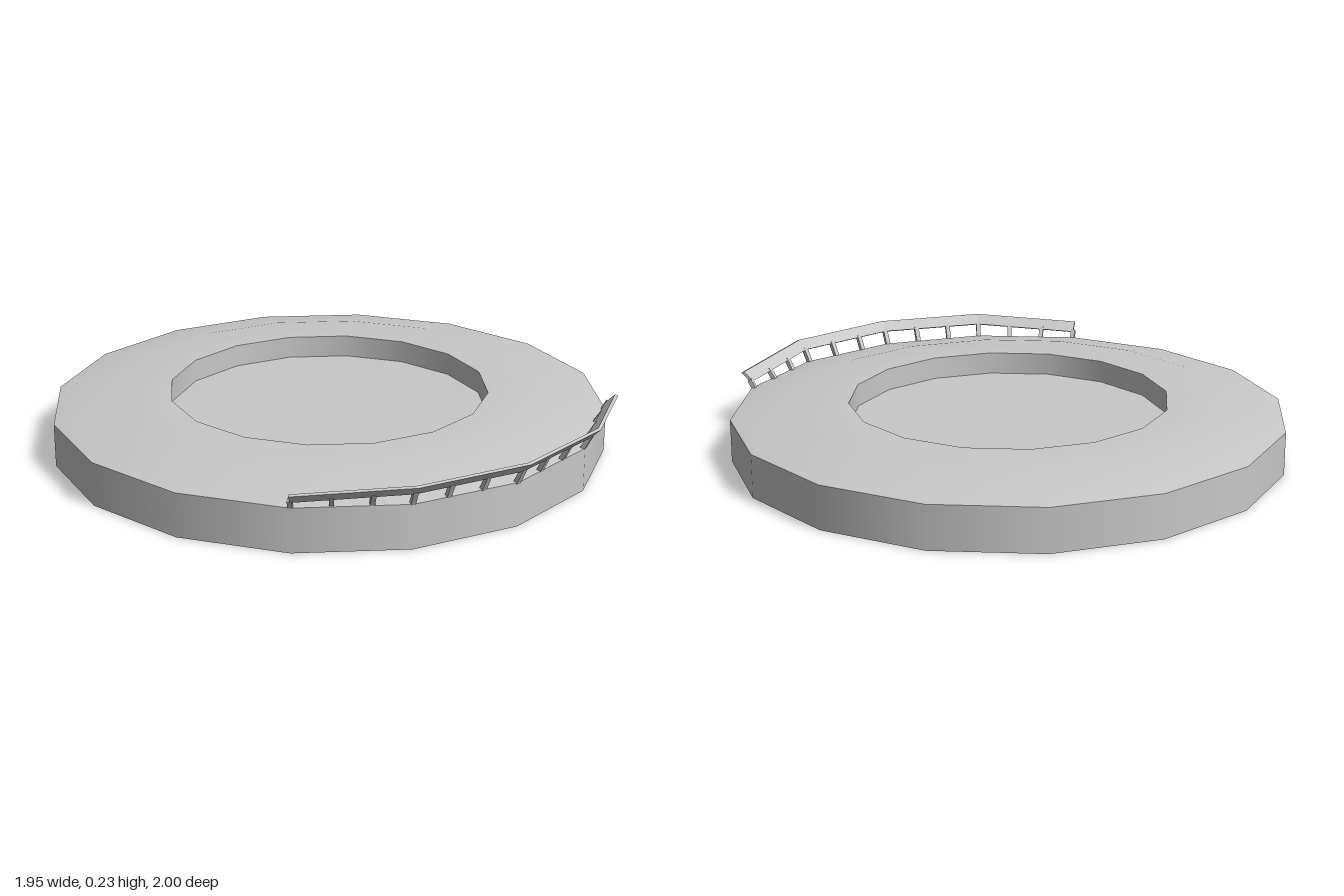
import * as THREE from 'three';

const SIDES = 16;
const CENTER_Z = -0.027;

export function createModel() {
  const model = new THREE.Group();
  const gray = new THREE.MeshStandardMaterial({ color: 0xc8c8c8 });
  gray.name = 'plain gray';

  const add = (parent, name, geometry) => {
    const mesh = new THREE.Mesh(geometry, gray);
    mesh.name = name;
    parent.add(mesh);
    return mesh;
  };

  // Round body: each profile piece is a separate lathe, so edges between them stay sharp
  const body = new THREE.Group();
  body.name = 'body';
  body.position.z = CENTER_Z;
  model.add(body);
  const profiles = {
    underside: [[0, 0], [0.973, 0]],
    outerWall: [[0.973, 0], [0.973, 0.152]],
    topRing: [[0.973, 0.152], [0.75, 0.197], [0.5625, 0.197]],
    recessWall: [[0.5625, 0.197], [0.5625, 0.117]],
    recessFloor: [[0.5625, 0.117], [0, 0.117]],
  };
  for (const [name, pts] of Object.entries(profiles)) {
    add(body, name, new THREE.LatheGeometry(pts.map(p => new THREE.Vector2(...p)), SIDES));
  }

  // Railing along four facets of the front edge
  const railing = new THREE.Group();
  railing.name = 'railing';
  railing.position.z = CENTER_Z;
  model.add(railing);

  // Corner i (-2..2) of the railing; it sinks and narrows slightly towards its ends
  const drop = [0, 0.003, 0.024];
  const shrink = [0, 0.002, 0.014];
  const corner = (i, r, y) => {
    const a = i * Math.PI * 2 / SIDES, k = Math.abs(i);
    return new THREE.Vector3(Math.sin(a) * (r - shrink[k]), y - drop[k], Math.cos(a) * (r - shrink[k]));
  };

  // Leaning rail board swept through the five corners
  const section = [[0.982, 0.201], [0.993, 0.196], [1.027, 0.23], [1.016, 0.234]];
  const rings = [-2, -1, 0, 1, 2].map(i => section.map(([r, y]) => corner(i, r, y)));
  const pos = [];
  const quad = (a, b, c, d) => {
    for (const v of [a, b, c, a, c, d]) pos.push(v.x, v.y, v.z);
  };
  for (let i = 0; i < 4; i++) {
    for (let j = 0; j < 4; j++) {
      const k = (j + 1) % 4;
      quad(rings[i][j], rings[i + 1][j], rings[i + 1][k], rings[i][k]);
    }
  }
  quad(...rings[0]);
  quad(...[...rings[4]].reverse());
  const board = new THREE.BufferGeometry();
  board.setAttribute('position', new THREE.Float32BufferAttribute(pos, 3));
  board.computeVertexNormals();
  add(railing, 'rail', board);

  // Thirteen slanted posts, three to a facet
  const up = new THREE.Vector3(0, 1, 0);
  for (let n = 0; n <= 12; n++) {
    const i = Math.min(Math.floor(n / 3), 3) - 2;
    const t = n / 3 - 2 - i;
    const top = corner(i, 0.994, 0.206).lerp(corner(i + 1, 0.994, 0.206), t);
    const base = corner(i, 0.958, 0).lerp(corner(i + 1, 0.958, 0), t).setY(0.135);
    if (n === 0 || n === 12) base.multiply(new THREE.Vector3(1.012, 1, 1.012));
    const dir = top.clone().sub(base);
    const post = add(railing, 'post', new THREE.BoxGeometry(0.016, dir.length(), 0.016));
    const facing = new THREE.Vector3(dir.x, 0, dir.z).normalize();
    const side = up.clone().cross(facing).normalize();
    dir.normalize();
    post.quaternion.setFromRotationMatrix(
      new THREE.Matrix4().makeBasis(side, dir, side.clone().cross(dir)));
    post.position.copy(base).add(top).multiplyScalar(0.5);
  }
  return model;
}
